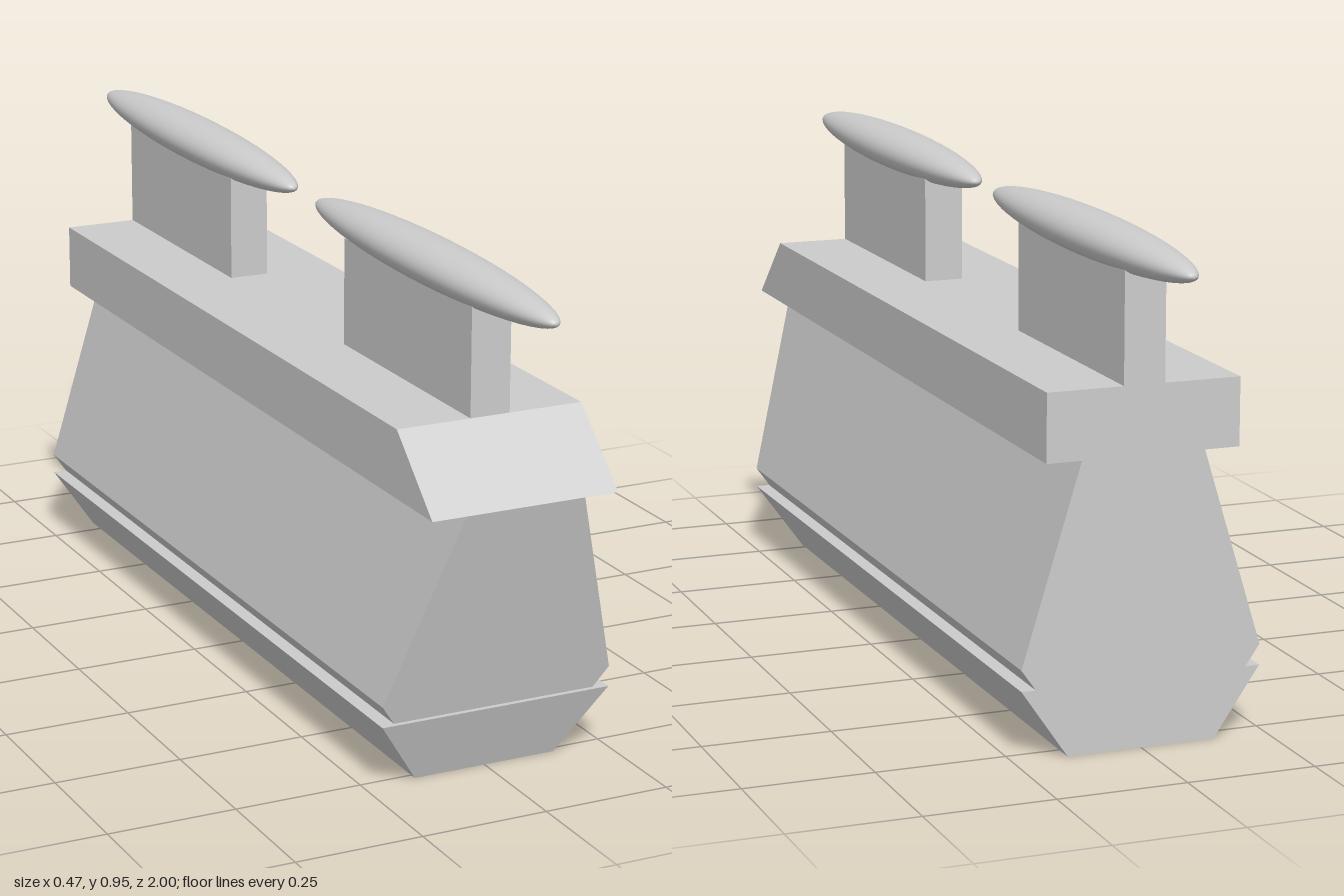
import * as THREE from 'three';

const BACK = -0.79;
const grey = new THREE.MeshStandardMaterial({ color: 0xcccccc });
const faceted = new THREE.MeshStandardMaterial({ color: 0xcccccc, flatShading: true });

// Closed solid stacked from levels [y, halfWidth, frontZ], all sharing the flat back
function loft(name, levels) {
  const pos = [], idx = [];
  for (const [y, w, f] of levels) pos.push(-w, y, f, w, y, f, w, y, BACK, -w, y, BACK);
  for (let i = 0; i < levels.length - 1; i++) {
    for (let k = 0; k < 4; k++) {
      const a = i * 4 + k, b = i * 4 + (k + 1) % 4;
      idx.push(a, b, b + 4, a, b + 4, a + 4);
    }
  }
  const t = (levels.length - 1) * 4;
  idx.push(0, 2, 1, 0, 3, 2, t, t + 1, t + 2, t, t + 2, t + 3);
  let geo = new THREE.BufferGeometry();
  geo.setAttribute('position', new THREE.Float32BufferAttribute(pos, 3));
  geo.setIndex(idx);
  geo = geo.toNonIndexed();
  geo.computeVertexNormals();
  const mesh = new THREE.Mesh(geo, faceted);
  mesh.name = name;
  return mesh;
}

export function createModel() {
  const model = new THREE.Group();
  model.name = 'model';

  // Keel, tapered body and overhanging top rail
  model.add(
    loft('keel', [[0, 0.145, 0.765], [0.132, 0.235, 0.81]]),
    loft('body', [[0.132, 0.207, 0.8], [0.172, 0.235, 0.81], [0.55, 0.12, 0.905]]),
    loft('topRail', [[0.55, 0.188, 0.905], [0.68, 0.188, 0.765]]),
  );

  // Two upright pylons, each carrying a long flattened pod
  const pods = [['front', 0.25, 0.765, 0.528], ['rear', BACK, -0.272, -0.528]];
  for (const [end, z0, z1, podZ] of pods) {
    const pylon = new THREE.Mesh(new THREE.BoxGeometry(0.08, 0.215, z1 - z0), faceted);
    pylon.name = end + 'Pylon';
    pylon.position.set(0, 0.7825, (z0 + z1) / 2);

    const podGeo = new THREE.SphereGeometry(1, 40, 28).rotateX(Math.PI / 2).scale(0.061, 0.042, 0.472);
    const pod = new THREE.Mesh(podGeo, grey);
    pod.name = end + 'Pod';
    pod.position.set(0, 0.912, podZ);
    model.add(pylon, pod);
  }
  return model;
}
